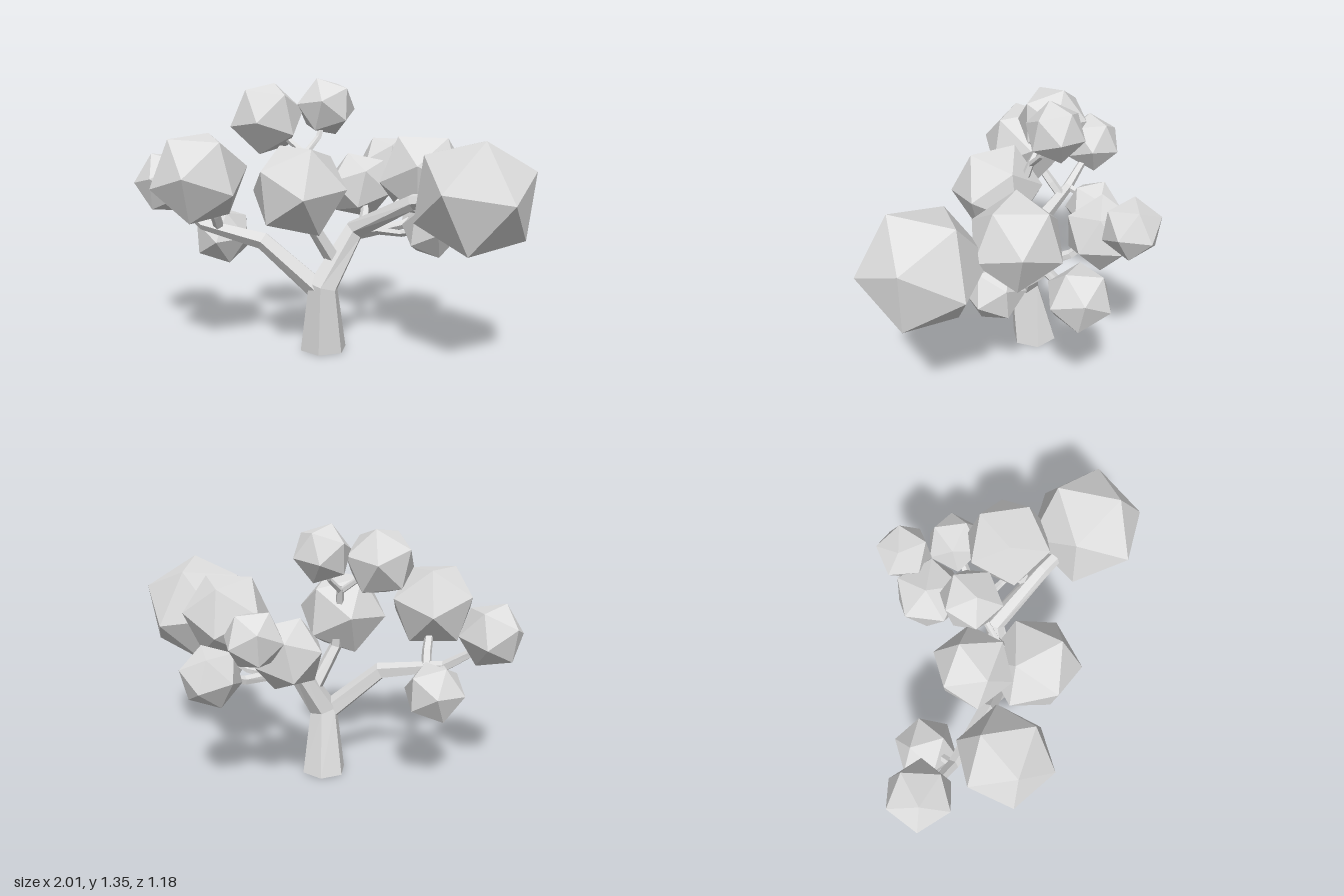
import * as THREE from 'three';

const V = (a) => new THREE.Vector3(...a);

// Tapered faceted limb with open ends; each node is [x, y, z, radius]
function limbGeometry(nodes, sides) {
  const pts = nodes.map((n) => V(n.slice(0, 3)));
  const pos = [], idx = [], last = pts.length - 1;
  pts.forEach((p, i) => {
    const t = new THREE.Vector3();
    if (i > 0) t.add(p.clone().sub(pts[i - 1]).normalize());
    if (i < last) t.add(pts[i + 1].clone().sub(p).normalize());
    if (p.y === 0) t.set(0, 1, 0);
    t.normalize();
    const u = new THREE.Vector3(0, 0, 1).addScaledVector(t, -t.z).normalize();
    const v = t.clone().cross(u);
    for (let j = 0; j < sides; j++) {
      const a = (j / sides) * Math.PI * 2, r = nodes[i][3];
      const q = p.clone().addScaledVector(u, r * Math.cos(a)).addScaledVector(v, r * Math.sin(a));
      pos.push(q.x, q.y, q.z);
    }
  });
  for (let i = 0; i < last; i++) {
    for (let j = 0; j < sides; j++) {
      const k = (j + 1) % sides, a = i * sides, b = a + sides;
      idx.push(a + j, a + k, b + k, a + j, b + k, b + j);
    }
  }
  const indexed = new THREE.BufferGeometry();
  indexed.setAttribute('position', new THREE.Float32BufferAttribute(pos, 3));
  indexed.setIndex(idx);
  const g = indexed.toNonIndexed();
  g.computeVertexNormals();
  return g;
}

// Orthonormal frame from one corner direction and a neighbouring corner
function frame(a, b) {
  const z = V(a).normalize();
  const y = V(b).addScaledVector(z, -V(b).dot(z)).normalize();
  return new THREE.Matrix4().makeBasis(y.clone().cross(z), y, z);
}

export function createModel() {
  const tree = new THREE.Group();
  tree.name = 'tree';
  const grey = new THREE.MeshStandardMaterial({
    color: 0xdedede, flatShading: true, side: THREE.DoubleSide,
  });
  grey.name = 'light grey';

  // Trunk and branches
  const limbs = {
    trunk: [[0, 0, 0.1, 0.12], [0.01, 0.34, 0.15, 0.078], [0.15, 0.61, 0.05, 0.054],
      [0.45, 0.78, 0.2, 0.04], [0.7, 0.83, 0.32, 0.03]],
    rightBranch: [[0.0, 0.31, 0.15, 0.058], [-0.29, 0.56, 0.165, 0.046],
      [-0.62, 0.62, 0.11, 0.03], [-0.82, 0.76, 0.05, 0.02]],
    rightFrontTwig: [[-0.53, 0.6, 0.12, 0.028], [-0.53, 0.68, 0.18, 0.027], [-0.55, 0.85, 0.32, 0.02]],
    rightBackTwig: [[-0.62, 0.62, 0.11, 0.022], [-0.58, 0.58, -0.04, 0.016]],
    middleBranch: [[0.06, 0.46, 0.11, 0.042], [-0.05, 0.68, 0.2, 0.034],
      [-0.07, 0.9, 0.17, 0.025], [-0.08, 1.01, 0.13, 0.019]],
    middleFrontTwig: [[-0.05, 0.67, 0.19, 0.026], [-0.07, 0.82, 0.3, 0.018]],
    crownRightTwig: [[-0.08, 0.99, 0.14, 0.017], [-0.26, 1.13, 0.1, 0.013]],
    crownLeftTwig: [[-0.08, 0.99, 0.14, 0.017], [-0.03, 1.07, 0.06, 0.015], [-0.01, 1.2, -0.01, 0.012]],
    backBranch: [[0.14, 0.59, 0.05, 0.035], [0.22, 0.59, -0.04, 0.03],
      [0.36, 0.6, -0.18, 0.024], [0.49, 0.66, -0.3, 0.017]],
    backTwig: [[0.18, 0.59, 0.0, 0.028], [0.17, 0.67, -0.16, 0.023],
      [0.13, 0.79, -0.3, 0.018], [0.24, 0.89, -0.45, 0.013]],
    leftLowTwig: [[0.24, 0.59, -0.06, 0.022], [0.38, 0.59, 0.0, 0.018], [0.52, 0.63, 0.08, 0.014]],
    leftHighTwig: [[0.36, 0.73, 0.14, 0.03], [0.47, 0.86, 0.01, 0.02]],
  };
  for (const [name, nodes] of Object.entries(limbs)) {
    const mesh = new THREE.Mesh(limbGeometry(nodes, name === 'trunk' ? 6 : 5), grey);
    mesh.name = name;
    tree.add(mesh);
  }

  // Foliage: centre, radius, one corner direction, neighbouring corner direction
  const clumps = [
    [[0.735, 0.828, 0.33], 0.296, [0.77, -0.63, 0], [0.59, 0, 0.81]],
    [[0.48, 0.885, -0.005], 0.23, [0.05, -0.28, -0.95], [0.05, 0.75, -0.66]],
    [[-0.55, 0.89, 0.345], 0.238, [0.02, 0.08, 0.99], [-0.5, 0.8, 0.3]],
    [[-0.07, 0.84, 0.32], 0.237, [0.3, -0.07, 0.95], [0.32, 0.89, 0.33]],
    [[-0.84, 0.822, 0.035], 0.17, [-0.15, 0.2, 0.97], [-0.4, 0.9, 0.1]],
    [[-0.575, 0.54, -0.055], 0.16, [0.1, -0.1, 0.99], [0.3, 0.9, 0.2]],
    [[-0.283, 1.16, 0.092], 0.186, [0, -0.08, 1], [-0.45, 0.78, 0.45]],
    [[-0.008, 1.215, -0.02], 0.151, [0.05, 0.2, 0.98], [-0.29, 0.95, 0.1]],
    [[0.12, 0.787, -0.295], 0.185, [0.3, 0.5, 0.8], [-0.3, 0.9, 0.1]],
    [[0.24, 0.905, -0.468], 0.146, [0.98, 0.03, 0.18], [0.15, 0.89, -0.42]],
    [[0.53, 0.632, 0.09], 0.145, [0.98, -0.1, 0.15], [0.2, 0.9, 0.3]],
    [[0.493, 0.658, -0.302], 0.16, [0.85, 0.3, -0.43], [0.2, 0.9, 0.4]],
  ];
  // a corner of the unit icosahedron and its neighbour
  const t = (1 + Math.sqrt(5)) / 2;
  const rest = frame([0, 1, t], [0, -1, t]).invert();
  clumps.forEach(([centre, radius, corner, neighbour], i) => {
    const mesh = new THREE.Mesh(new THREE.IcosahedronGeometry(radius, 0), grey);
    mesh.name = `foliage${i + 1}`;
    mesh.position.set(...centre);
    mesh.quaternion.setFromRotationMatrix(frame(corner, neighbour).multiply(rest));
    tree.add(mesh);
  });
  return tree;
}
